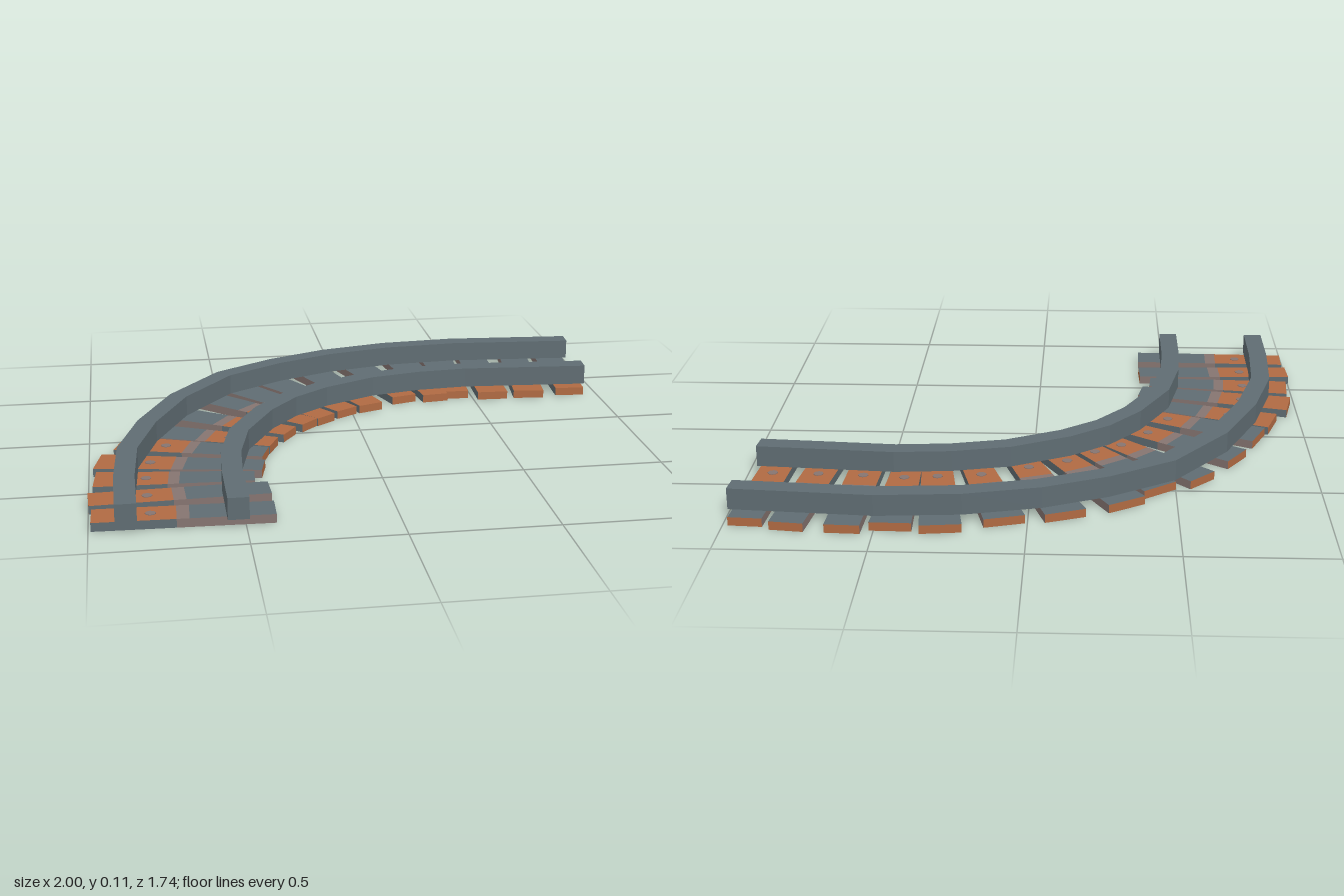
import * as THREE from 'three';

const mat = (name, color) => {
  const m = new THREE.MeshStandardMaterial({ color });
  m.name = name;
  return m;
};

const TIE_H = 0.03;
const RAIL_H = 0.075;
const RAIL_W = 0.07;

// Centre lines of the rails as [x, z]
const OUTER = [[-0.88, 0.87], [-0.88, 0.62], [-0.865, 0.35], [-0.79, 0.08], [-0.665, -0.2], [-0.475, -0.45],
  [-0.255, -0.59], [-0.035, -0.685], [0.22, -0.745], [0.505, -0.765], [0.992, -0.73]];
const INNER = [[-0.525, 0.87], [-0.525, 0.62], [-0.515, 0.44], [-0.47, 0.22], [-0.36, 0], [-0.25, -0.14],
  [-0.115, -0.245], [0.085, -0.345], [0.285, -0.39], [0.48, -0.405], [0.965, -0.37]];

// Ties: outer end x, z; inner end x, z; width at the outer and inner end
const TIES = [
  [-0.99, 0.77, -0.4, 0.785, 0.115, 0.115],
  [-1, 0.625, -0.4, 0.605, 0.115, 0.11],
  [-0.98, 0.445, -0.44, 0.49, 0.14, 0.09],
  [-0.97, 0.27, -0.4, 0.39, 0.145, 0.1],
  [-0.89, 0.09, -0.38, 0.26, 0.145, 0.1],
  [-0.825, -0.05, -0.34, 0.16, 0.145, 0.1],
  [-0.73, -0.25, -0.27, 0.05, 0.135, 0.1],
  [-0.595, -0.44, -0.185, -0.04, 0.125, 0.09],
  [-0.445, -0.53, -0.115, -0.095, 0.14, 0.09],
  [-0.33, -0.65, -0.025, -0.165, 0.145, 0.095],
  [-0.125, -0.745, 0.075, -0.21, 0.145, 0.1],
  [0.075, -0.795, 0.22, -0.29, 0.14, 0.1],
  [0.28, -0.86, 0.345, -0.29, 0.14, 0.1],
  [0.445, -0.85, 0.435, -0.315, 0.14, 0.095],
  [0.6, -0.872, 0.575, -0.285, 0.118, 0.118],
  [0.785, -0.86, 0.72, -0.28, 0.115, 0.118],
  [0.925, -0.83, 0.89, -0.29, 0.115, 0.112],
];
const RUST_OUTSIDE = 5; // the first ties are rusty on the outer end, the rest on the inner

// Flat bar of constant width with mitred joints along a centre line
function railGeometry(points) {
  const pts = points.map(([x, z]) => new THREE.Vector2(x, -z));
  const left = [], right = [];
  pts.forEach((p, i) => {
    const a = pts[Math.max(i - 1, 0)], b = pts[Math.min(i + 1, pts.length - 1)];
    const d1 = (i ? p.clone().sub(a) : b.clone().sub(p)).normalize();
    const d2 = (i < pts.length - 1 ? b.clone().sub(p) : d1.clone()).normalize();
    const t = d1.clone().add(d2).normalize();
    const n = new THREE.Vector2(-t.y, t.x).multiplyScalar(RAIL_W / 2 / t.dot(d1));
    left.push(p.clone().add(n));
    right.push(p.clone().sub(n));
  });
  const shape = new THREE.Shape([...right, ...left.reverse()]);
  const geo = new THREE.ExtrudeGeometry(shape, { depth: RAIL_H, bevelEnabled: false });
  return geo.rotateX(-Math.PI / 2).translate(0, TIE_H, 0);
}

// Slice of a tapered plank between fractions u0 and u1 of its length
function plankSlice(start, end, w0, w1, u0, u1) {
  const geo = new THREE.BoxGeometry(1, TIE_H, 1).translate(0.5, TIE_H / 2, 0);
  const dir = end.clone().sub(start).normalize();
  const pos = geo.attributes.position;
  for (let i = 0; i < pos.count; i++) {
    const u = u0 + (u1 - u0) * pos.getX(i);
    const s = pos.getZ(i) * (w0 + (w1 - w0) * u);
    const c = start.clone().lerp(end, u);
    pos.setXYZ(i, c.x - dir.y * s, pos.getY(i), c.y + dir.x * s);
  }
  geo.computeVertexNormals();
  return geo;
}

export function createModel() {
  const slate = mat('slate', 0x5f6c72);
  const rust = mat('rust', 0xb06a42);
  const taupe = mat('taupe', 0x857470);

  const model = new THREE.Group();
  model.name = 'curvedTrack';

  const add = (parent, name, geo, material) => {
    const mesh = new THREE.Mesh(geo, material);
    mesh.name = name;
    parent.add(mesh);
    return mesh;
  };

  // Rails
  add(model, 'outerRail', railGeometry(OUTER), slate);
  add(model, 'innerRail', railGeometry(INNER), slate);

  // Ties: rusty half, worn band and slate half, with a bolt mark on the rust
  const slices = [
    ['rustyHalf', 0, 0.46, rust, slate],
    ['wornBand', 0.46, 0.53, taupe, taupe],
    ['slateHalf', 0.53, 1, slate, taupe],
  ];
  TIES.forEach(([xo, zo, xi, zi, wo, wi], i) => {
    const tie = new THREE.Group();
    tie.name = `tie${i + 1}`;
    const outer = new THREE.Vector2(xo, zo), inner = new THREE.Vector2(xi, zi);
    const [start, end, w0, w1] = i < RUST_OUTSIDE ? [outer, inner, wo, wi] : [inner, outer, wi, wo];
    for (const [name, u0, u1, face, side] of slices) {
      // face order: two ends, top, bottom, two sides
      add(tie, name, plankSlice(start, end, w0, w1, u0, u1), [rust, rust, face, face, side, side]);
    }
    const spot = start.clone().lerp(end, 0.32);
    add(tie, 'boltMark', new THREE.CylinderGeometry(0.018, 0.018, 0.004, 8), taupe)
      .position.set(spot.x, TIE_H, spot.y);
    model.add(tie);
  });

  return model;
}
